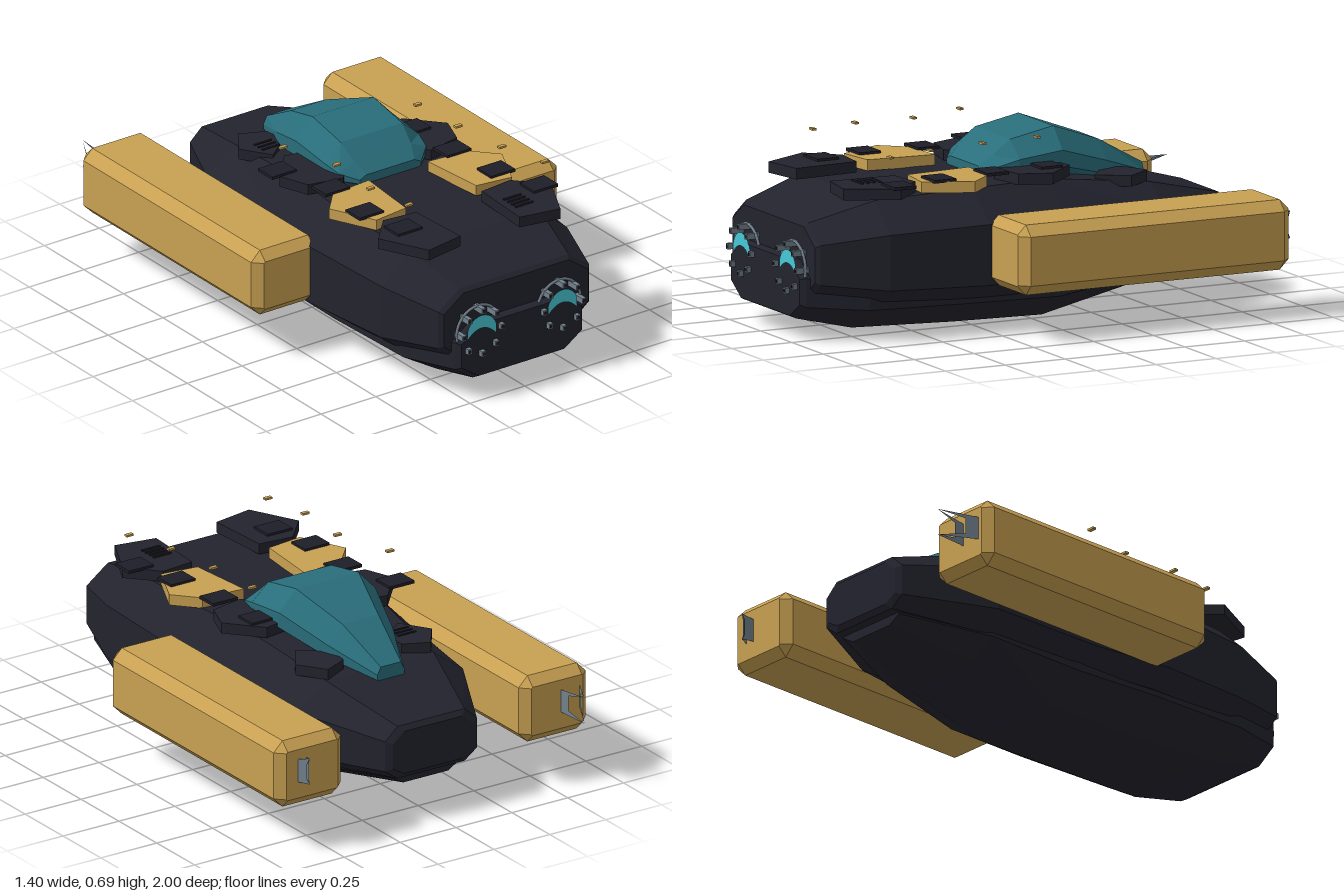
import * as THREE from 'three';

const mat = (name, color, opts = {}) => Object.assign(new THREE.MeshStandardMaterial({ color, ...opts }), { name });

// Faceted loft through closed cross-sections ordered from back to front
function loft(sections) {
  const pos = [];
  const tri = (a, b, c) => pos.push(...a, ...b, ...c);
  const n = sections[0].length;
  for (let i = 0; i < sections.length - 1; i++) {
    for (let j = 0; j < n; j++) {
      const k = (j + 1) % n, s = sections[i], t = sections[i + 1];
      tri(s[j], s[k], t[k]);
      tri(s[j], t[k], t[j]);
    }
  }
  const back = sections[0], front = sections[sections.length - 1];
  for (let j = 1; j < n - 1; j++) {
    tri(front[0], front[j], front[j + 1]);
    tri(back[0], back[j + 1], back[j]);
  }
  const g = new THREE.BufferGeometry();
  g.setAttribute('position', new THREE.Float32BufferAttribute(pos, 3));
  g.computeVertexNormals();
  return g;
}

// Mirrored octagon: bottom half-width and y, side half-width with low and high y, top half-width and y
const octagon = ([z, bw, yb, w, yl, yh, tw, yt]) => [
  [bw, yb, z], [w, yl, z], [w, yh, z], [tw, yt, z],
  [-tw, yt, z], [-w, yh, z], [-w, yl, z], [-bw, yb, z],
];

export function createModel() {
  const root = new THREE.Group();
  const hullMat = mat('charcoal hull', 0x23232e);
  const panelMat = mat('dark panel', 0x1e1e28);
  const goldMat = mat('gold', 0xc8a052);
  const glassMat = mat('teal canopy', 0x296e7b);
  const glowMat = mat('cyan glow', 0x48c8d8, { side: THREE.DoubleSide });
  const steelMat = mat('steel', 0x71808c, { side: THREE.DoubleSide });

  const add = (name, geo, material, x = 0, y = 0, z = 0, parent = root) => {
    const m = new THREE.Mesh(geo, material);
    m.name = name;
    m.position.set(x, y, z);
    parent.add(m);
    return m;
  };

  // Hull: wide upper shell and narrower keel
  add('upperHull', loft([
    [-0.85, 0.13, 0.20, 0.18, 0.23, 0.33, 0.13, 0.37],
    [-0.835, 0.15, 0.18, 0.205, 0.22, 0.34, 0.15, 0.39],
    [-0.5, 0.27, 0.15, 0.37, 0.21, 0.38, 0.24, 0.475],
    [-0.05, 0.34, 0.12, 0.41, 0.19, 0.41, 0.29, 0.535],
    [0.28, 0.37, 0.13, 0.455, 0.19, 0.42, 0.32, 0.535],
    [0.68, 0.35, 0.14, 0.425, 0.20, 0.41, 0.30, 0.52],
    [0.93, 0.27, 0.17, 0.345, 0.23, 0.38, 0.25, 0.45],
    [0.945, 0.26, 0.18, 0.33, 0.24, 0.37, 0.24, 0.435],
  ].map(octagon)), hullMat);
  add('lowerHull', loft([
    [-0.8, 0.10, 0.14, 0.15, 0.17, 0.20, 0.12, 0.22],
    [-0.45, 0.17, 0.08, 0.29, 0.14, 0.20, 0.25, 0.25],
    [-0.07, 0.20, 0.005, 0.35, 0.10, 0.18, 0.30, 0.30],
    [0.3, 0.20, 0.012, 0.365, 0.11, 0.18, 0.30, 0.30],
    [0.73, 0.21, 0.03, 0.36, 0.12, 0.20, 0.28, 0.31],
    [0.96, 0.21, 0.085, 0.29, 0.14, 0.25, 0.21, 0.31],
    [0.98, 0.195, 0.095, 0.275, 0.15, 0.245, 0.195, 0.305],
  ].map(octagon)), hullMat);

  // Canopy
  add('canopy', loft([
    [-0.57, 0.05, 0.45, 0.06, 0.46, 0.48, 0.045, 0.51],
    [-0.37, 0.11, 0.47, 0.145, 0.50, 0.55, 0.08, 0.62],
    [-0.15, 0.16, 0.53, 0.215, 0.56, 0.62, 0.14, 0.70],
    [0.03, 0.16, 0.53, 0.215, 0.56, 0.60, 0.14, 0.665],
    [0.10, 0.15, 0.53, 0.20, 0.55, 0.58, 0.13, 0.61],
    [0.15, 0.12, 0.53, 0.14, 0.54, 0.555, 0.11, 0.57],
  ].map(octagon)), glassMat);

  // Side pods with chamfered edges
  const podRing = (z, s) => octagon([z, 0.15 - 0.04, -0.1325 + s, 0.15 - s, -0.0925, 0.0925, 0.15 - 0.04, 0.1325 - s]);
  const podGeo = loft([podRing(-0.86, 0.035), podRing(-0.825, 0), podRing(0.235, 0), podRing(0.27, 0.035)]);
  for (const s of [1, -1]) add(s > 0 ? 'leftPod' : 'rightPod', podGeo, goldMat, s * 0.548, 0.3175, 0);

  // Rear fins: a folded swallow-tail sheet standing on each pod's back
  const finSheet = (x0, x1, zTip, zNotch) => {
    const sh = new THREE.Shape([
      [-0.855, 0.285], [zTip, 0.285], [zNotch, 0.305], [zNotch, 0.365], [zTip, 0.39], [-0.855, 0.375],
    ].map(p => new THREE.Vector2(...p)));
    const g = new THREE.ShapeGeometry(sh), p = g.attributes.position;
    for (let i = 0; i < p.count; i++) {
      const z = p.getX(i), t = (z + 0.855) / (zTip + 0.855);
      p.setXYZ(i, x0 + (x1 - x0) * t, p.getY(i), z);
    }
    g.computeVertexNormals();
    return g;
  };
  for (const [x, outer, tipX, zTip, zNotch] of [[-0.565, -0.65, -0.575, -1.0, -0.905], [0.615, 0.575, 0.59, -0.905, -0.895]]) {
    const fin = new THREE.Group();
    fin.name = x < 0 ? 'rightFin' : 'leftFin';
    add('finOuter', finSheet(outer, tipX, zTip, zNotch), steelMat, 0, 0, 0, fin);
    add('finInner', finSheet(x, tipX, zTip, zNotch), steelMat, 0, 0, 0, fin);
    root.add(fin);
  }

  // Armour plates, mirrored across the deck
  const plates = [
    ['frontPlate', hullMat, 0.575, [[0.135, 0.78], [0.15, 0.52], [0.29, 0.505], [0.395, 0.62], [0.30, 0.81]]],
    ['goldPlate', goldMat, 0.575, [[0.135, 0.20], [0.31, 0.215], [0.395, 0.31], [0.31, 0.49], [0.16, 0.47]]],
    ['middlePlate', hullMat, 0.575, [[0.14, 0.06], [0.16, -0.13], [0.27, -0.15], [0.385, -0.02], [0.34, 0.10], [0.20, 0.13]]],
    ['rearPlate', hullMat, 0.518, [[0.12, -0.36], [0.13, -0.45], [0.23, -0.495], [0.305, -0.39], [0.23, -0.275]]],
  ];
  for (const [name, material, top, pts] of plates) {
    for (const s of [1, -1]) {
      const sh = new THREE.Shape(pts.map(([x, z]) => new THREE.Vector2(s * x, z)));
      const g = new THREE.ExtrudeGeometry(sh, { depth: 0.042, bevelEnabled: false });
      add(name, g.rotateX(Math.PI / 2), material, 0, top, 0);
    }
  }

  // Square hatches, each with a small gold marker hovering above
  const hatchGeo = new THREE.BoxGeometry(0.11, 0.012, 0.09);
  const markerGeo = new THREE.BoxGeometry(0.03, 0.008, 0.016);
  for (const [x, z] of [[-0.365, -0.06], [0.25, -0.06], [-0.29, 0.175], [0.265, 0.175],
    [-0.305, 0.41], [0.295, 0.41], [-0.27, 0.605], [0.35, 0.605]]) {
    add('hatch', hatchGeo, panelMat, x, 0.578, z);
    add('marker', markerGeo, goldMat, x, 0.688, z + 0.036);
  }

  // Vent slits
  const ventGeo = new THREE.BoxGeometry(0.08, 0.008, 0.008);
  for (let i = 0; i < 4; i++) add('vent', ventGeo, panelMat, 0.21, 0.577, 0.63 + i * 0.025);
  for (let i = 0; i < 3; i++) add('vent', ventGeo, panelMat, -0.2, 0.518, -0.38 + i * 0.025);

  // Nose ports: steel ring, glowing crescent and eight clamps
  const crescent = new THREE.Shape();
  crescent.moveTo(0.064, -0.02);
  crescent.absarc(0, 0, 0.066, -0.25, Math.PI + 0.25, false);
  crescent.quadraticCurveTo(0, 0.05, 0.064, -0.02);
  const glowGeo = new THREE.ShapeGeometry(crescent, 16);
  const ringGeo = new THREE.TorusGeometry(0.098, 0.006, 6, 32);
  const clampGeo = new THREE.BoxGeometry(0.018, 0.022, 0.06);
  for (const s of [1, -1]) {
    const port = new THREE.Group();
    port.name = s > 0 ? 'leftPort' : 'rightPort';
    port.position.set(s * 0.185, 0.277, 0);
    add('ring', ringGeo, steelMat, 0, 0, 0.96, port);
    add('glow', glowGeo, glowMat, 0, 0, 0.984, port);
    for (let i = 0; i < 8; i++) {
      const a = i * Math.PI / 4;
      add('clamp', clampGeo, steelMat, Math.cos(a) * 0.088, Math.sin(a) * 0.088, 0.968, port);
      add('clampCap', new THREE.BoxGeometry(0.01, 0.012, 0.004), panelMat, Math.cos(a) * 0.088, Math.sin(a) * 0.088, 0.998, port);
    }
    root.add(port);
  }
  return root;
}
